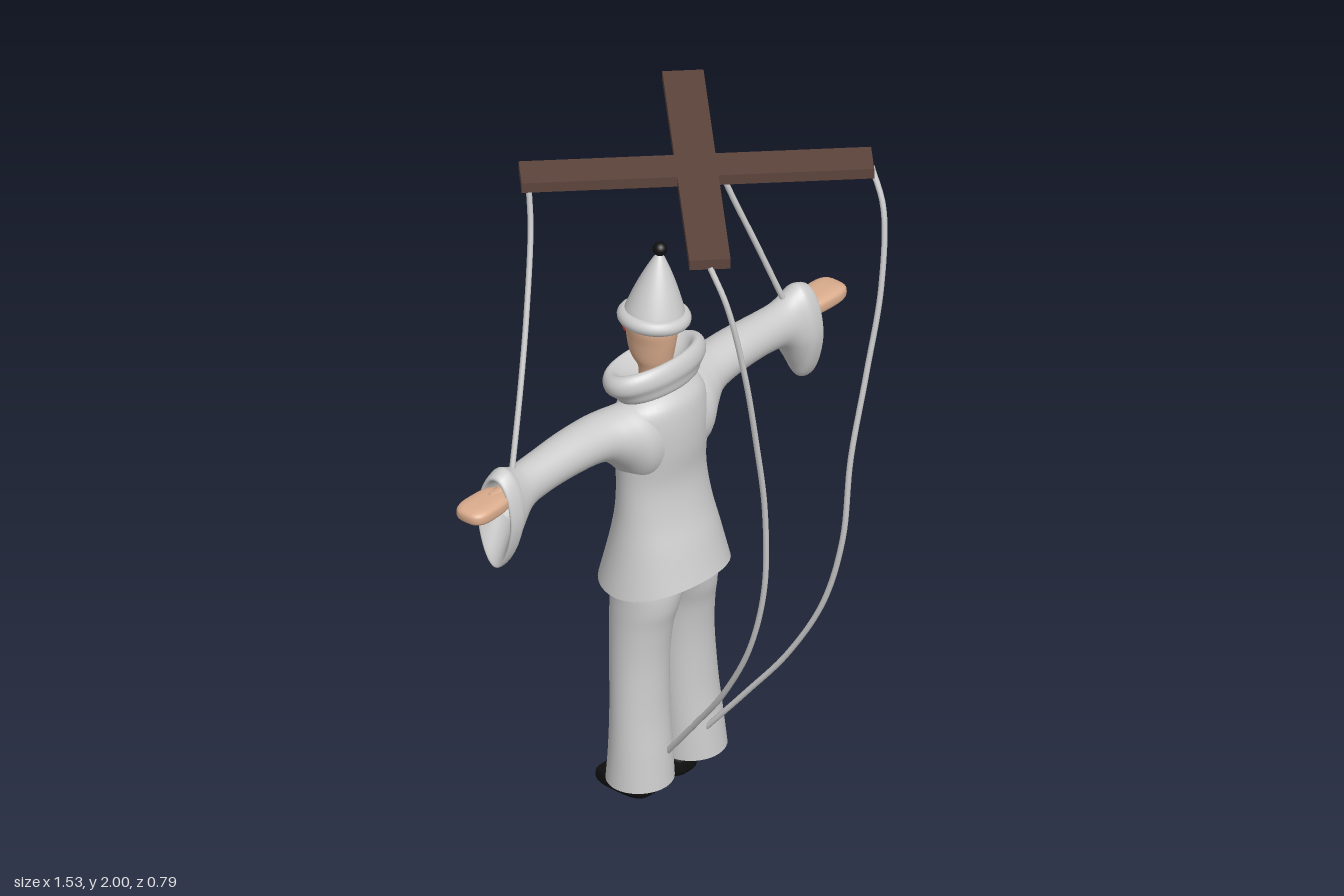
import * as THREE from 'three';

const mat = (color) => new THREE.MeshStandardMaterial({ color, side: THREE.DoubleSide });

// Smooth skin through elliptical sections [t, aMin, aMax, bMin, bMax].
// axis 'y': t = y, a = x, b = z.   axis 'x': t = x, a = z, b = y.
function loft(rows, axis = 'y', { steps = 5, sides = 40, warp } = {}) {
  const curves = [0, 1, 2, 3, 4].map((c) => new THREE.SplineCurve(rows.map((r) => new THREE.Vector2(r[c], 0))));
  const n = (rows.length - 1) * steps;
  const pos = [], idx = [];
  const p = new THREE.Vector3();
  for (let i = 0; i <= n; i++) {
    const [t, a0, a1, b0, b1] = curves.map((c) => c.getPoint(i / n).x);
    for (let j = 0; j < sides; j++) {
      const q = (j / sides) * Math.PI * 2;
      const a = (a0 + a1) / 2 + ((a1 - a0) / 2) * Math.cos(q);
      const b = (b0 + b1) / 2 + ((b1 - b0) / 2) * Math.sin(q);
      if (axis === 'y') p.set(a, t, b); else p.set(t, b, a);
      if (warp) warp(p);
      pos.push(p.x, p.y, p.z);
      if (i < n) {
        const k = i * sides + j, m = i * sides + ((j + 1) % sides);
        idx.push(k, k + sides, m + sides, k, m + sides, m);
      }
    }
  }
  const g = new THREE.BufferGeometry();
  g.setAttribute('position', new THREE.Float32BufferAttribute(pos, 3));
  g.setIndex(idx);
  g.computeVertexNormals();
  return g;
}

// Rounded block: a sphere pushed towards a box; shape(p) may reshape it in unit space
function blob(w, h, d, power, shape) {
  const g = new THREE.SphereGeometry(1, 36, 24);
  const v = g.attributes.position, p = new THREE.Vector3();
  const f = (x) => Math.sign(x) * Math.pow(Math.abs(x), power);
  for (let i = 0; i < v.count; i++) {
    p.fromBufferAttribute(v, i);
    p.set(f(p.x), f(p.y), f(p.z));
    if (shape) shape(p);
    v.setXYZ(i, (p.x * w) / 2, (p.y * h) / 2, (p.z * d) / 2);
  }
  g.computeVertexNormals();
  return g;
}

export function createModel() {
  const root = new THREE.Group();
  const cloth = mat(0xcccccc), skin = mat(0xd9ab8c), wood = mat(0x5d443c);
  const black = mat(0x111111), red = mat(0xc23b3b);
  const add = (name, geo, m, x = 0, y = 0, z = 0, parent = root) => {
    const o = new THREE.Mesh(geo, m);
    o.name = name;
    o.position.set(x, y, z);
    parent.add(o);
    return o;
  };

  // Control cross
  for (const s of [-1, 1]) {
    add('controlBar', new THREE.BoxGeometry(0.94, 0.03, 0.11), wood, 0, 1.985, -0.02).rotation.y = s * Math.PI / 4;
  }

  // Tunic body, hem slightly raised at the back
  add('tunic', loft([
    [0.68, -0.195, 0.195, -0.295, 0.03],
    [0.8, -0.17, 0.17, -0.265, 0.0],
    [0.9, -0.153, 0.153, -0.245, -0.03],
    [1.0, -0.147, 0.147, -0.24, -0.048],
    [1.1, -0.152, 0.152, -0.247, -0.042],
    [1.18, -0.155, 0.155, -0.245, -0.045],
    [1.24, -0.135, 0.135, -0.235, -0.06],
    [1.275, -0.07, 0.07, -0.215, -0.1],
  ], 'y', {
    warp: (p) => {
      const low = THREE.MathUtils.clamp((0.95 - p.y) / 0.27, 0, 1);
      const back = THREE.MathUtils.clamp((p.z + 0.15) / 0.18, 0, 1);
      p.y += 0.04 * low * back * back;
    },
  }), cloth);

  // Ruffled collar, tilted down towards the chest
  const collarProfile = [[0.07, -0.05], [0.125, -0.055], [0.15, -0.03], [0.17, -0.01], [0.174, 0.015],
    [0.162, 0.034], [0.14, 0.035], [0.11, 0.012], [0.06, -0.01]];
  const collarCurve = new THREE.SplineCurve(collarProfile.map((p) => new THREE.Vector2(...p)));
  const collar = add('collar', new THREE.LatheGeometry(collarCurve.getPoints(32), 48), cloth, 0, 1.305, -0.165);
  collar.scale.z = 0.6;
  collar.rotation.x = -0.3;

  // Buttons
  for (const [y, z] of [[1.12, -0.257], [0.955, -0.257], [0.795, -0.28]]) {
    add('button', new THREE.SphereGeometry(0.027, 24, 16), black, 0, y, z).scale.z = 0.8;
  }

  // Head with neck and nose
  add('head', loft([
    [1.24, -0.045, 0.045, -0.21, -0.12],
    [1.31, -0.045, 0.045, -0.21, -0.12],
    [1.35, -0.057, 0.053, -0.235, -0.112],
    [1.4, -0.064, 0.06, -0.247, -0.103],
    [1.45, -0.07, 0.066, -0.243, -0.1],
    [1.49, -0.05, 0.05, -0.22, -0.12],
  ]), skin);
  add('nose', new THREE.SphereGeometry(0.017, 20, 14), red, 0, 1.395, -0.258);

  // Pointed hat with rolled brim and pompom, leaning to one side
  const hat = new THREE.Group();
  hat.name = 'hat';
  hat.position.set(0, 1.465, -0.168);
  hat.rotation.z = -0.12;
  root.add(hat);
  const hatPts = [[0.086, 0], [0.078, 0.03], [0.06, 0.08], [0.036, 0.135], [0.012, 0.18], [0, 0.19]];
  add('hatCone', new THREE.LatheGeometry(
    new THREE.SplineCurve(hatPts.map((p) => new THREE.Vector2(...p))).getPoints(24), 40), cloth, 0, 0, 0, hat);
  const brim = add('hatBrim', new THREE.TorusGeometry(0.079, 0.021, 16, 48), cloth, 0, 0, 0, hat);
  brim.rotation.x = Math.PI / 2;
  add('pompom', new THREE.SphereGeometry(0.02, 20, 14), black, 0, 0.2, 0, hat);

  // Sleeve widening into a drooping cuff, then folding inside
  const sleeve = loft([
    [0.06, -0.235, -0.06, 1.0, 1.255],
    [0.12, -0.245, -0.06, 1.02, 1.25],
    [0.17, -0.25, -0.085, 1.075, 1.247],
    [0.23, -0.25, -0.11, 1.115, 1.246],
    [0.34, -0.247, -0.122, 1.125, 1.246],
    [0.46, -0.243, -0.13, 1.12, 1.238],
    [0.53, -0.242, -0.13, 1.1, 1.238],
    [0.575, -0.246, -0.122, 1.03, 1.255],
    [0.6, -0.248, -0.115, 0.98, 1.268],
    [0.634, -0.243, -0.118, 0.972, 1.255],
    [0.63, -0.232, -0.13, 0.995, 1.24],
    [0.58, -0.22, -0.14, 1.1, 1.23],
  ], 'x', {
    warp: (p) => { // narrower towards the hanging tip
      const drop = THREE.MathUtils.clamp((1.12 - p.y) / 0.15, 0, 1) * THREE.MathUtils.clamp((p.x - 0.4) / 0.15, 0, 1);
      p.z = -0.18 + (p.z + 0.18) * (1 - 0.2 * drop);
    },
  });
  // Trouser leg, open at the hem
  const trouser = loft([
    [0.085, 0.012, 0.203, -0.215, -0.035],
    [0.18, 0.012, 0.195, -0.21, -0.045],
    [0.3, 0.01, 0.186, -0.21, -0.058],
    [0.45, 0.007, 0.175, -0.22, -0.062],
    [0.56, 0.001, 0.169, -0.227, -0.052],
    [0.63, -0.015, 0.166, -0.232, -0.037],
    [0.7, -0.045, 0.16, -0.232, -0.035],
    [0.8, -0.06, 0.13, -0.21, -0.06],
  ]);
  const hand = blob(0.165, 0.05, 0.106, 0.65, (p) => { p.z *= 0.94 + 0.06 * p.x; });
  const shoe = blob(0.107, 0.09, 0.188, 0.6, (p) => {
    const toe = Math.max(0, 0.2 - p.z) / 1.2;
    if (p.y > -1) p.y = -1 + (p.y + 1) * (1 - 0.45 * toe);
    p.x *= 1 - 0.12 * toe;
  });

  for (const s of [-1, 1]) {
    const side = s > 0 ? 'left' : 'right';
    add(side + 'Sleeve', sleeve, cloth).scale.x = s;
    add(side + 'Trouser', trouser, cloth).scale.x = s;
    const h = add(side + 'Hand', hand, skin, s * 0.682, 1.19, -0.177);
    h.rotation.y = s > 0 ? 0 : Math.PI;
    add(side + 'Wrist', new THREE.CylinderGeometry(0.026, 0.026, 0.12, 20), skin, s * 0.6, 1.19, -0.178).rotation.z = Math.PI / 2;
    add(side + 'Shoe', shoe, black, s * 0.074, 0.045, -0.197);
    add(side + 'Ankle', new THREE.CylinderGeometry(0.034, 0.034, 0.14, 20), skin, s * 0.076, 0.13, -0.145);

    // Strings from the cross to the wrist and to the back of the leg
    const string = (name, pts) => add(name, new THREE.TubeGeometry(
      new THREE.CatmullRomCurve3(pts.map(([x, y, z]) => new THREE.Vector3(s * x, y, z))), 80, 0.008, 8), cloth);
    string(side + 'ArmString', [[0.33, 1.975, -0.325], [0.345, 1.85, -0.305], [0.415, 1.62, -0.26],
      [0.48, 1.44, -0.225], [0.555, 1.235, -0.19]]);
    string(side + 'LegString', [[0.33, 1.975, 0.31], [0.32, 1.87, 0.36], [0.28, 1.65, 0.387], [0.225, 1.4, 0.382],
      [0.175, 1.15, 0.37], [0.16, 0.9, 0.355], [0.15, 0.68, 0.295], [0.13, 0.48, 0.185], [0.105, 0.33, 0.07],
      [0.08, 0.175, -0.055]]);
  }
  return root;
}
